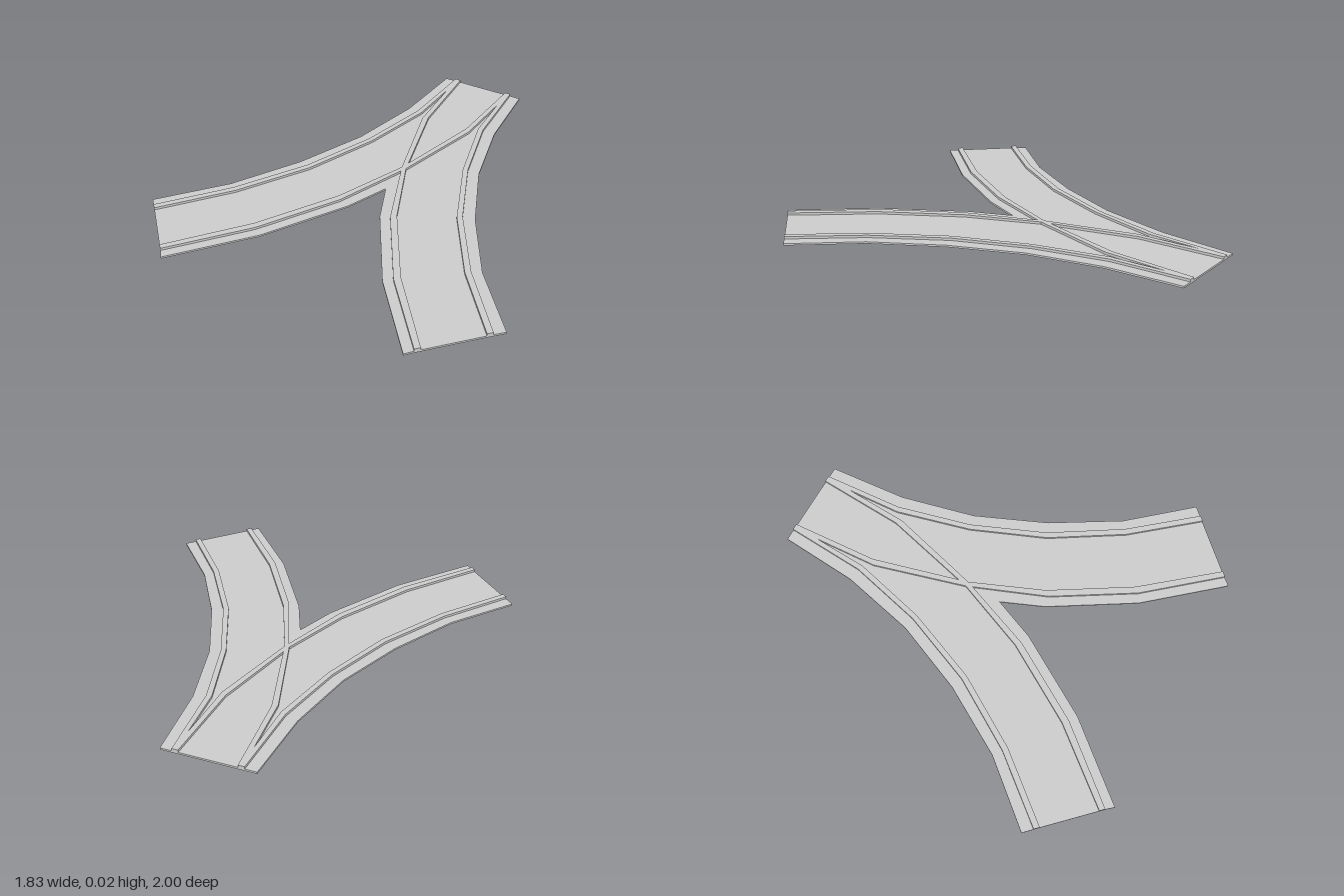
import * as THREE from 'three';

const BED_TOP = 0.009, RAIL_TOP = 0.021;

// Plan lines of the +x half as [x, z], from the shared end to the arm end
const bedOuter = [[0.22, -1], [0.25, -0.62], [0.335, -0.26], [0.48, 0.08], [0.67, 0.4], [0.915, 0.685]];
const bedInner = [[0, 0.07], [0.085, 0.275], [0.32, 0.66], [0.61, 1]];
const outerRailOut = [[0.165, -1], [0.19, -0.61], [0.28, -0.25], [0.425, 0.1], [0.63, 0.43], [0.875, 0.725]];
const outerRailIn = [[0.145, -1], [0.165, -0.6], [0.257, -0.24], [0.402, 0.115], [0.607, 0.447], [0.855, 0.745]];
// This rail starts on the -x side and crosses over to the +x arm
const crossRailIn = [[-0.158, -1], [-0.135, -0.555], [-0.012, -0.11], [0.135, 0.265], [0.36, 0.635], [0.64, 0.965]];
const crossRailOut = [[-0.135, -1], [-0.11, -0.575], [0.012, -0.11], [0.157, 0.24], [0.383, 0.61], [0.66, 0.945]];

const mirror = (pts) => pts.map(([x, z]) => [-x, z]);
const reversed = (pts) => [...pts].reverse();

// Flat slab from a plan outline
function slabGeometry(outline) {
  const shape = new THREE.Shape(outline.map(([x, z]) => new THREE.Vector2(x, z)));
  const geo = new THREE.ExtrudeGeometry(shape, { depth: BED_TOP, bevelEnabled: false });
  return geo.rotateX(Math.PI / 2).translate(0, BED_TOP, 0);
}

// Hollow rail: two walls, a top and end caps between two plan lines
function railGeometry(left, right) {
  const pos = [];
  const quad = (a, b, c, d) => pos.push(...a, ...b, ...c, ...a, ...c, ...d);
  const sections = left.map(([lx, lz], i) => {
    const [rx, rz] = right[i];
    return [[lx, 0, lz], [lx, RAIL_TOP, lz], [rx, RAIL_TOP, rz], [rx, 0, rz]];
  });
  for (let i = 0; i < sections.length - 1; i++) {
    const a = sections[i], b = sections[i + 1];
    for (let k = 0; k < 3; k++) quad(a[k], b[k], b[k + 1], a[k + 1]);
  }
  const first = sections[0], last = sections[sections.length - 1];
  quad(first[0], first[1], first[2], first[3]);
  quad(last[3], last[2], last[1], last[0]);
  const geo = new THREE.BufferGeometry();
  geo.setAttribute('position', new THREE.Float32BufferAttribute(pos, 3));
  geo.computeVertexNormals();
  return geo;
}

export function createModel() {
  const group = new THREE.Group();
  group.name = 'trackSwitch';
  const bedMat = new THREE.MeshStandardMaterial({ color: 0xcccccc, flatShading: true });
  const railMat = new THREE.MeshStandardMaterial({ color: 0xcccccc, flatShading: true, side: THREE.DoubleSide });
  const add = (name, geo, mat) => {
    const mesh = new THREE.Mesh(geo, mat);
    mesh.name = name;
    group.add(mesh);
  };

  // Bed panels and rails of each half
  const outerStrip = [...bedOuter, ...reversed(outerRailOut)];
  const armPanel = [[0.151, -0.86], ...outerRailIn.slice(1), ...reversed(crossRailOut.slice(2)), [0.135, -0.555]];
  for (const [side, isLeft] of [['left', true], ['right', false]]) {
    const flip = (pts) => (isLeft ? pts : mirror(pts));
    add(side + 'OuterBed', slabGeometry(flip(outerStrip)), bedMat);
    add(side + 'ArmBed', slabGeometry(flip(armPanel)), bedMat);
    // Line order is swapped on the mirrored side so faces stay outward
    const rail = (a, b) => (isLeft ? railGeometry(b, a) : railGeometry(mirror(a), mirror(b)));
    add(side + 'OuterRail', rail(outerRailIn, outerRailOut), railMat);
    add(side + 'CrossingRail', rail(crossRailIn, crossRailOut), railMat);
  }

  // Bed between the rails at the shared end
  const sharedHalf = [[0.135, -1], [0.11, -0.575]];
  add('sharedBed', slabGeometry([...sharedHalf, [0, -0.153], ...reversed(mirror(sharedHalf))]), bedMat);

  // V-shaped bed edge where the arms part
  const forkHalf = [...crossRailIn.slice(3), ...reversed(bedInner.slice(1))];
  add('forkBed', slabGeometry([[0, -0.08], ...forkHalf, bedInner[0], ...reversed(mirror(forkHalf))]), bedMat);
  return group;
}
